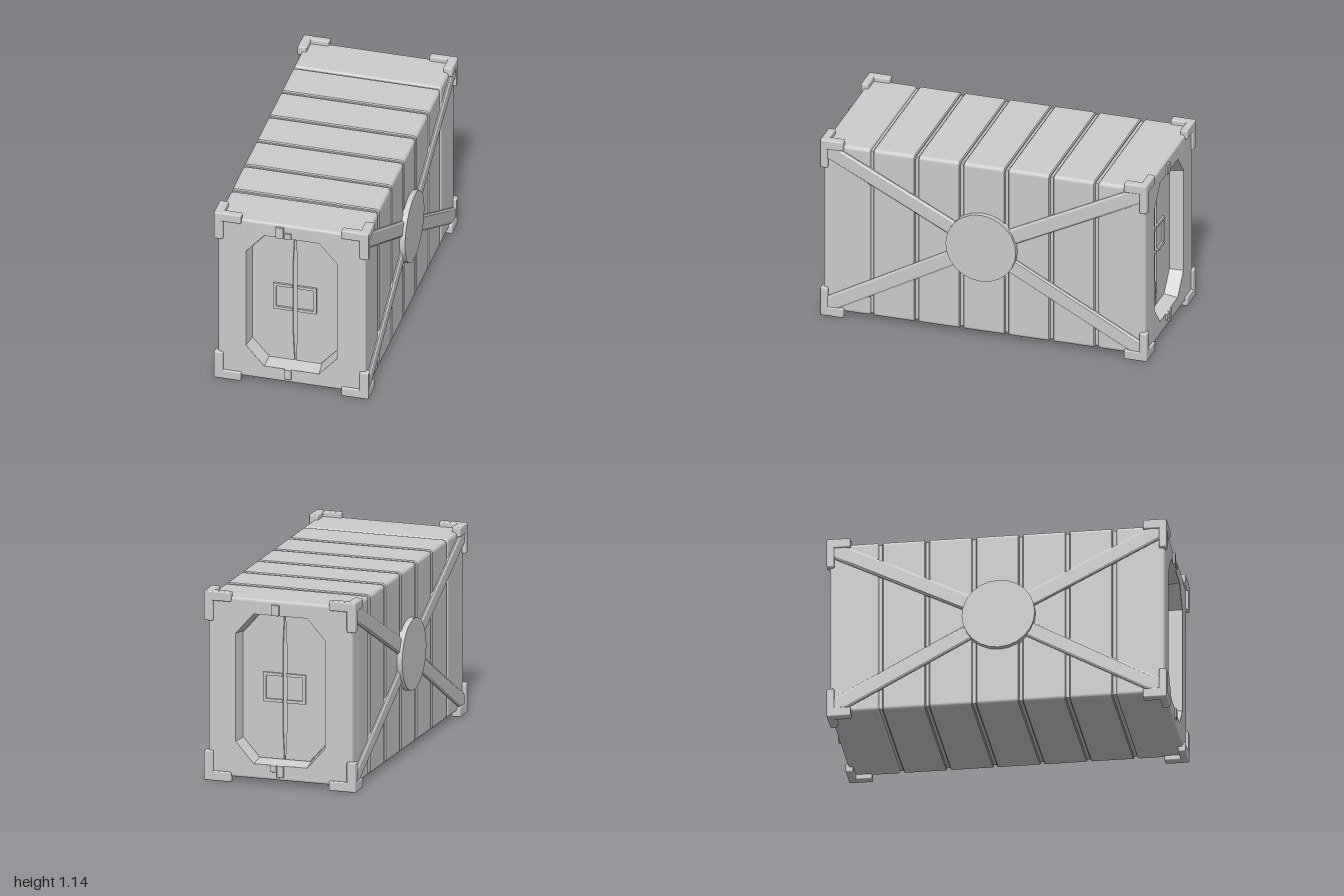
import * as THREE from 'three';
import { RoundedBoxGeometry } from 'three/addons/geometries/RoundedBoxGeometry.js';

const HALF_X = 0.445, HALF_Y = 0.54, MID_Y = 0.57, HALF_Z = 0.985;

export function createModel() {
  const root = new THREE.Group();
  root.name = 'cargoContainer';
  const mat = new THREE.MeshStandardMaterial({ color: 0xcccccc });
  const thin = new THREE.MeshStandardMaterial({ color: 0xcccccc, side: THREE.DoubleSide });

  const add = (name, geo, x = 0, y = 0, z = 0, parent = root, material = mat) => {
    const m = new THREE.Mesh(geo, material);
    m.name = name;
    m.position.set(x, y, z);
    parent.add(m);
    return m;
  };
  const polygon = (pts) => new THREE.Shape(pts.map(([x, y]) => new THREE.Vector2(x, y)));
  const box = (w, h, d) => new THREE.BoxGeometry(w, h, d);

  // Rectangle with rounded corners, centred on the origin
  const roundRect = (a, b, r) => {
    const s = new THREE.Shape();
    s.absarc(a - r, b - r, r, 0, Math.PI / 2);
    s.absarc(-a + r, b - r, r, Math.PI / 2, Math.PI);
    s.absarc(-a + r, -b + r, r, Math.PI, Math.PI * 1.5);
    s.absarc(a - r, -b + r, r, Math.PI * 1.5, Math.PI * 2);
    s.closePath();
    return s;
  };
  // Door opening outline, inset by d
  const octagon = (d) => {
    const x = 0.275 - d, y = 0.45 - d, cx = 0.165 - d * 0.4, cy = 0.325 - d * 0.4;
    return [[cx, y], [-cx, y], [-x, cy], [-x, -cy], [-cx, -y], [cx, -y], [x, -cy], [x, cy]];
  };

  // Hull: inner core seen in the grooves, wrapped by seven bevelled bands
  add('hullCore', box(0.86, 1.05, 1.786), 0, MID_Y, 0);
  const grooves = [-0.685, -0.41, -0.135, 0.14, 0.415, 0.69];
  const cuts = [-HALF_Z - 0.01, ...grooves, HALF_Z + 0.01];
  for (let i = 0; i < 7; i++) {
    const z0 = cuts[i] + 0.01, z1 = cuts[i + 1] - 0.01;
    const end = i === 0 || i === 6;
    const b = end ? 0.015 : 0.006;
    const shape = roundRect(HALF_X, HALF_Y, 0.022);
    if (end) shape.holes.push(polygon(octagon(-0.03)));
    const geo = new THREE.ExtrudeGeometry(shape, {
      depth: z1 - z0 - 2 * b, bevelThickness: b, bevelSize: b, bevelOffset: -b,
      bevelSegments: end ? 3 : 1, curveSegments: 4,
    });
    add('hullBand', geo, 0, MID_Y, z0 + b);
  }

  // Recessed double door, the same at both ends
  for (const turn of [0, Math.PI]) {
    const door = new THREE.Group();
    door.name = turn ? 'backDoor' : 'frontDoor';
    door.position.y = MID_Y;
    door.rotation.y = turn;
    root.add(door);

    const face = roundRect(HALF_X - 0.015, HALF_Y - 0.015, 0.01);
    face.holes.push(polygon(octagon(0)));
    add('endWall', new THREE.ShapeGeometry(face, 4), 0, 0, HALF_Z + 0.0005, door);

    // Sloping walls of the recess
    const outer = octagon(0), inner = octagon(0.018), pos = [];
    for (let i = 0; i < 8; i++) {
      const j = (i + 1) % 8;
      const A = [...outer[i], HALF_Z], B = [...outer[j], HALF_Z];
      const C = [...inner[j], 0.89], D = [...inner[i], 0.89];
      pos.push(...A, ...D, ...B, ...B, ...D, ...C);
    }
    const walls = new THREE.BufferGeometry();
    walls.setAttribute('position', new THREE.Float32BufferAttribute(pos, 3));
    walls.computeVertexNormals();
    add('doorReveal', walls, 0, 0, 0, door, thin);

    // Two leaves with a tapering seam, each with half of the raised lock frame
    for (const s of [-1, 1]) {
      const leaf = polygon([
        [0.004, 0.43], [0.013, 0.24], [0.013, -0.24], [0.004, -0.43],
        [0.155, -0.43], [0.257, -0.315], [0.257, 0.315], [0.155, 0.43],
      ].map(([x, y]) => [x * s, y]));
      add('doorLeaf', new THREE.ExtrudeGeometry(leaf, { depth: 0.02, bevelEnabled: false }), 0, 0, 0.885, door);
      for (const v of [-1, 1]) {
        add('lockFrameBar', box(0.117, 0.018, 0.014), s * 0.0715, v * 0.079, 0.91, door);
      }
      add('lockFrameSide', box(0.018, 0.176, 0.014), s * 0.121, 0, 0.91, door);
    }
  }

  // Door latch tabs: x range, y range, end
  const tabs = [
    [-0.095, -0.047, 1.02, 1.095, 1], [-0.045, 0, 1.02, 1.06, 1], [-0.045, 0, 0.055, 0.12, 1],
    [0.005, 0.055, 1.02, 1.085, -1], [-0.022, 0.02, 0.05, 0.12, -1], [0.022, 0.062, 0.08, 0.12, -1],
  ];
  for (const [x0, x1, y0, y1, s] of tabs) {
    add('latchTab', new RoundedBoxGeometry(x1 - x0, y1 - y0, 0.03, 1, 0.004),
      (x0 + x1) / 2, (y0 + y1) / 2, s * 0.982);
  }

  // Corner castings: three arms meeting at each corner
  const arms = [[0.165, 0.058, 0.045], [0.055, 0.18, 0.045], [0.055, 0.058, 0.14]];
  for (const sx of [-1, 1]) for (const sy of [-1, 1]) for (const sz of [-1, 1]) {
    const corner = new THREE.Group();
    corner.name = 'cornerCasting';
    corner.position.set(sx * 0.467, MID_Y + sy * 0.57, sz);
    root.add(corner);
    for (const [w, h, d] of arms) {
      add('cornerArm', new RoundedBoxGeometry(w, h, d, 2, 0.008),
        -sx * w / 2, -sy * h / 2, -sz * d / 2, corner);
    }
  }

  // Cross braces and centre disc on both long sides
  const cz = 0.012, cy = 0.59;
  for (const sx of [-1, 1]) {
    const side = new THREE.Group();
    side.name = sx > 0 ? 'leftBrace' : 'rightBrace';
    side.position.set(sx * 0.445, cy, cz);
    root.add(side);
    for (const sz of [-1, 1]) for (const sy of [-1, 1]) {
      const reach = 0.975 - sz * cz;
      const top = sy > 0 ? 0.51 : 0.55;
      const slope = (top - 0.02) / reach;
      const w = 0.054;
      const shape = polygon([
        [0, w], [(top - w) / slope, top], [reach, top], [reach, reach * slope - w], [0, -w],
      ].map(([t, y]) => [-sz * t, sy * y]));
      const geo = new THREE.ExtrudeGeometry(shape, {
        depth: 0.014, bevelThickness: 0.008, bevelSize: 0.012, bevelOffset: -0.012, bevelSegments: 1,
      });
      geo.translate(0, 0, -0.007);
      geo.rotateY(Math.PI / 2);
      add('braceBeam', geo, 0, 0, 0, side);
    }
    const disc = new THREE.CylinderGeometry(0.215, 0.215, 0.05, 24);
    disc.rotateZ(Math.PI / 2);
    add('braceDisc', disc, sx * 0.008, 0, 0, side);
  }
  return root;
}
